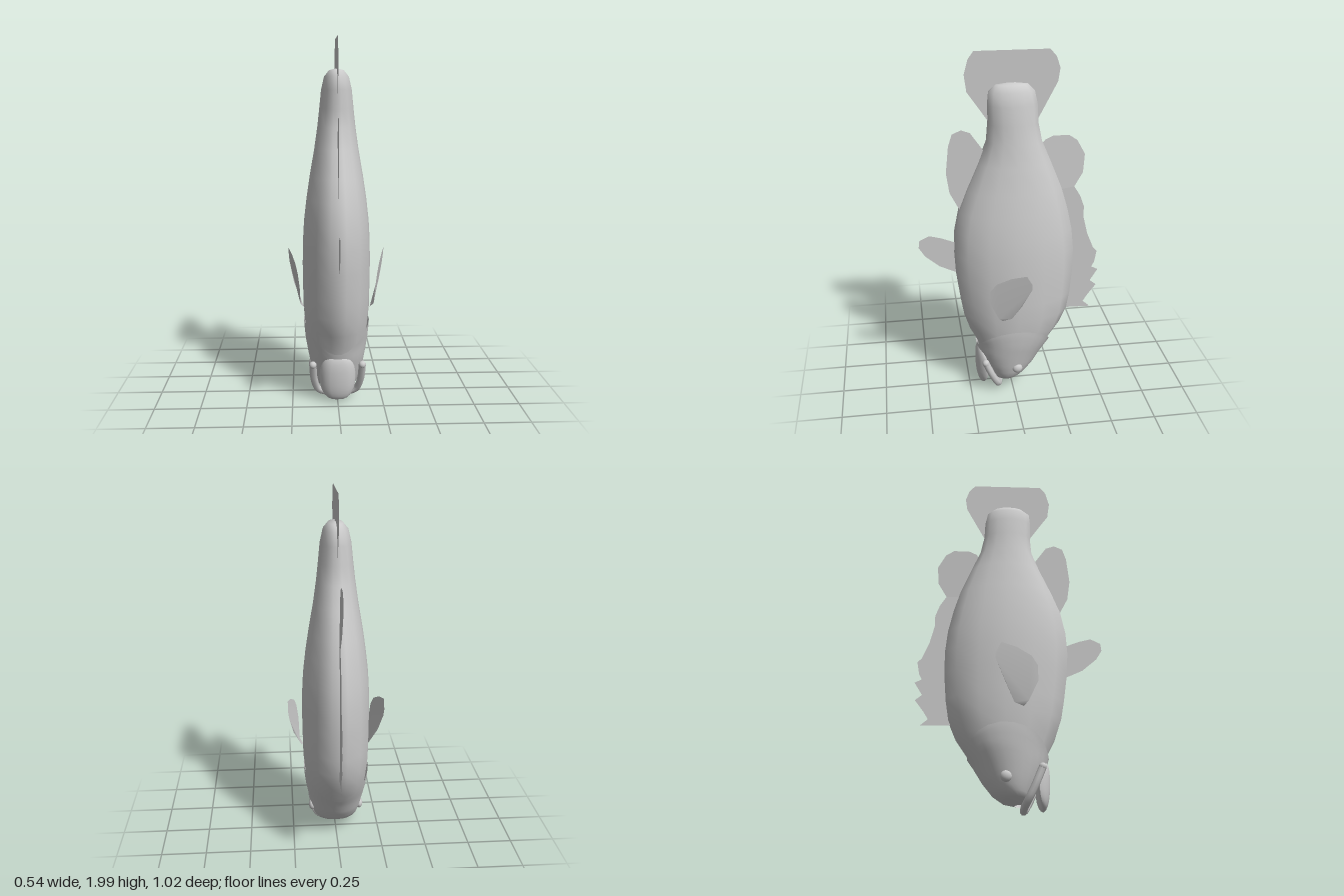
import * as THREE from 'three';

// Cross-sections from tail to snout: y, belly z, back z, half width
const PROFILE = [
  [1.833, 0.01, -0.02, 0.004], [1.825, 0.08, -0.09, 0.04], [1.79, 0.118, -0.125, 0.068],
  [1.72, 0.125, -0.14, 0.084], [1.62, 0.122, -0.145, 0.094], [1.52, 0.13, -0.165, 0.105],
  [1.4, 0.175, -0.215, 0.122], [1.25, 0.24, -0.275, 0.148], [1.13, 0.286, -0.31, 0.166],
  [1.0, 0.312, -0.338, 0.181], [0.88, 0.319, -0.35, 0.188], [0.75, 0.312, -0.35, 0.19],
  [0.6, 0.292, -0.338, 0.188], [0.5, 0.275, -0.322, 0.186], [0.4, 0.252, -0.29, 0.182],
  [0.32, 0.21, -0.235, 0.173], [0.24, 0.188, -0.18, 0.158], [0.16, 0.155, -0.132, 0.142],
  [0.1, 0.125, -0.085, 0.124], [0.065, 0.108, -0.035, 0.1], [0.045, 0.07, 0.03, 0.03],
];

// Point on the fish's skin at height y and angle a (0 = belly, PI = back)
function skin(y, a, grow) {
  let i = 1;
  while (i < PROFILE.length - 1 && PROFILE[i][0] > y) i++;
  const p = PROFILE[i - 1], q = PROFILE[i];
  const t = THREE.MathUtils.clamp((p[0] - y) / (p[0] - q[0]), 0, 1);
  const [front, back, w] = [1, 2, 3].map((k) => p[k] + (q[k] - p[k]) * t);
  const depth = (front - back) / 2 / 0.975;
  return [Math.sin(a) * w * grow, y, (front + back) / 2 + Math.cos(a) * depth * grow];
}

// Closed tube of rows running downwards; point(row, angle) gives each corner
function loft(rows, sides, point) {
  const pos = [], index = [];
  for (let j = 0; j < rows; j++) {
    for (let i = 0; i < sides; i++) {
      pos.push(...point(j, ((i + 0.5) / sides) * Math.PI * 2));
      if (j === rows - 1) continue;
      const a = j * sides + i, d = j * sides + ((i + 1) % sides);
      index.push(a, a + sides, d + sides, a, d + sides, d);
    }
  }
  const g = new THREE.BufferGeometry();
  g.setAttribute('position', new THREE.Float32BufferAttribute(pos, 3));
  g.setIndex(index);
  g.computeVertexNormals();
  return g;
}

// Thin fin from a (z, y) outline; bend(z, y) gives its x
function finGeometry(outline, bend = () => 0) {
  const shape = new THREE.Shape(outline.map(([z, y]) => new THREE.Vector2(z, y)));
  const g = new THREE.ShapeGeometry(shape);
  const p = g.attributes.position;
  for (let i = 0; i < p.count; i++) {
    const z = p.getX(i), y = p.getY(i);
    p.setXYZ(i, bend(z, y), y, z);
  }
  g.computeVertexNormals();
  return g;
}

const FINS = {
  tailFin: [[0.19, 2], [-0.205, 2], [-0.24, 1.96], [-0.26, 1.9], [-0.25, 1.83], [-0.14, 1.62],
    [-0.1, 1.7], [0.09, 1.7], [0.12, 1.63], [0.23, 1.79], [0.242, 1.88], [0.22, 1.96]],
  analFin: [[0.28, 1.13], [0.334, 1.236], [0.35, 1.35], [0.334, 1.5], [0.313, 1.565],
    [0.265, 1.587], [0.217, 1.57], [0.14, 1.46], [0.1, 1.4], [0.2, 1.15]],
  pelvicFin: [[0.3, 0.748], [0.403, 0.796], [0.483, 0.865], [0.515, 0.918], [0.51, 0.96],
    [0.456, 0.987], [0.39, 0.97], [0.3, 0.934]],
  softDorsalFin: [[-0.15, 1.46], [-0.19, 1.51], [-0.233, 1.53], [-0.32, 1.53], [-0.366, 1.5],
    [-0.41, 1.42], [-0.402, 1.316], [-0.355, 1.236], [-0.25, 1.22]],
  spinyDorsalFin: [[-0.25, 1.236], [-0.355, 1.236], [-0.39, 1.18], [-0.414, 1.114], [-0.414, 1.05],
    [-0.44, 0.944], [-0.477, 0.854], [-0.5, 0.83], [-0.488, 0.76], [-0.472, 0.73], [-0.51, 0.71],
    [-0.467, 0.64], [-0.504, 0.61], [-0.456, 0.546], [-0.43, 0.504], [-0.472, 0.467],
    [-0.28, 0.472], [-0.3, 0.8]],
};
const PECTORAL = [[0.143, 0.73], [0.143, 0.65], [0.095, 0.546], [0.07, 0.52], [0.02, 0.536],
  [-0.03, 0.64], [-0.08, 0.748], [-0.08, 0.785], [-0.05, 0.838], [0.03, 0.82], [0.11, 0.78]];

export function createModel() {
  const fish = new THREE.Group();
  fish.name = 'hangingFish';
  const skinMat = new THREE.MeshStandardMaterial({ color: 0xcccccc });
  const finMat = new THREE.MeshStandardMaterial({ color: 0xcccccc, side: THREE.DoubleSide });
  const add = (name, geometry, material = skinMat) => {
    const mesh = new THREE.Mesh(geometry, material);
    mesh.name = name;
    fish.add(mesh);
    return mesh;
  };

  // Body, tucked slightly under the head
  const rows = PROFILE.filter(([y]) => y > 0.2);
  add('body', loft(rows.length, 14, (j, a) => skin(rows[j][0], a, rows[j][0] < 0.45 ? 0.965 : 1)));

  // Head with gill covers: its upper edge dips at belly and back
  const steps = 14;
  add('head', loft(steps + 1, 28, (j, a) => {
    const edge = 0.435 - 0.15 * Math.cos(a) ** 2;
    return skin(THREE.MathUtils.lerp(edge, 0.045, j / steps), a, 1.01);
  }), finMat);

  // Upper lip: a flattened U around the open mouth
  const half = [[0.137, 0.215, 0.165], [0.13, 0.12, 0.125], [0.105, 0.05, 0.09], [0.055, 0.03, 0.078]];
  const lipPath = new THREE.CatmullRomCurve3([
    ...half.map(([x, y, z]) => new THREE.Vector3(-x, y, z)),
    new THREE.Vector3(0, 0.027, 0.076),
    ...half.slice().reverse().map(([x, y, z]) => new THREE.Vector3(x, y, z)),
  ]);
  add('upperLip', new THREE.TubeGeometry(lipPath, 32, 0.02, 8));
  for (const side of [-1, 1]) {
    const corner = add(side > 0 ? 'leftMouthCorner' : 'rightMouthCorner', new THREE.SphereGeometry(0.021, 10, 8));
    corner.position.set(side * 0.137, 0.215, 0.165);
  }

  // Lower jaw: a rounded scoop standing off the mouth
  const jaw = add('lowerJaw', new THREE.SphereGeometry(1, 20, 14));
  const jp = jaw.geometry.attributes.position;
  for (let i = 0; i < jp.count; i++) {
    const [x, y, z] = [jp.getX(i), jp.getY(i), jp.getZ(i)];
    jp.setXYZ(i, Math.sign(x) * Math.abs(x) ** 0.75 * 0.1, Math.sign(y) * Math.abs(y) ** 0.85 * 0.125,
      z * 0.03 - 0.03 * x * x);
  }
  jaw.geometry.computeVertexNormals();
  jaw.position.set(0, 0.145, 0.182);
  jaw.rotation.x = 0.04;

  // Fins along the middle
  for (const [name, outline] of Object.entries(FINS)) {
    const lean = name === 'softDorsalFin' ? (z, y) => -0.05 * (y - 1.236) : undefined;
    add(name, finGeometry(outline, lean), finMat);
  }

  // Paired side fins and eyes
  for (const side of [-1, 1]) {
    const label = side > 0 ? 'left' : 'right';
    const bend = (z, y) => side * (0.255 + 0.13 * (y - 0.8) - 0.2 * z - (y < 0.54 ? 0.022 : 0));
    add(label + 'PectoralFin', finGeometry(PECTORAL, bend), finMat);
    const eye = add(label + 'Eye', new THREE.SphereGeometry(0.03, 14, 10));
    eye.scale.x = 0.7;
    eye.position.set(side * 0.138, 0.165, -0.02);
  }
  return fish;
}
